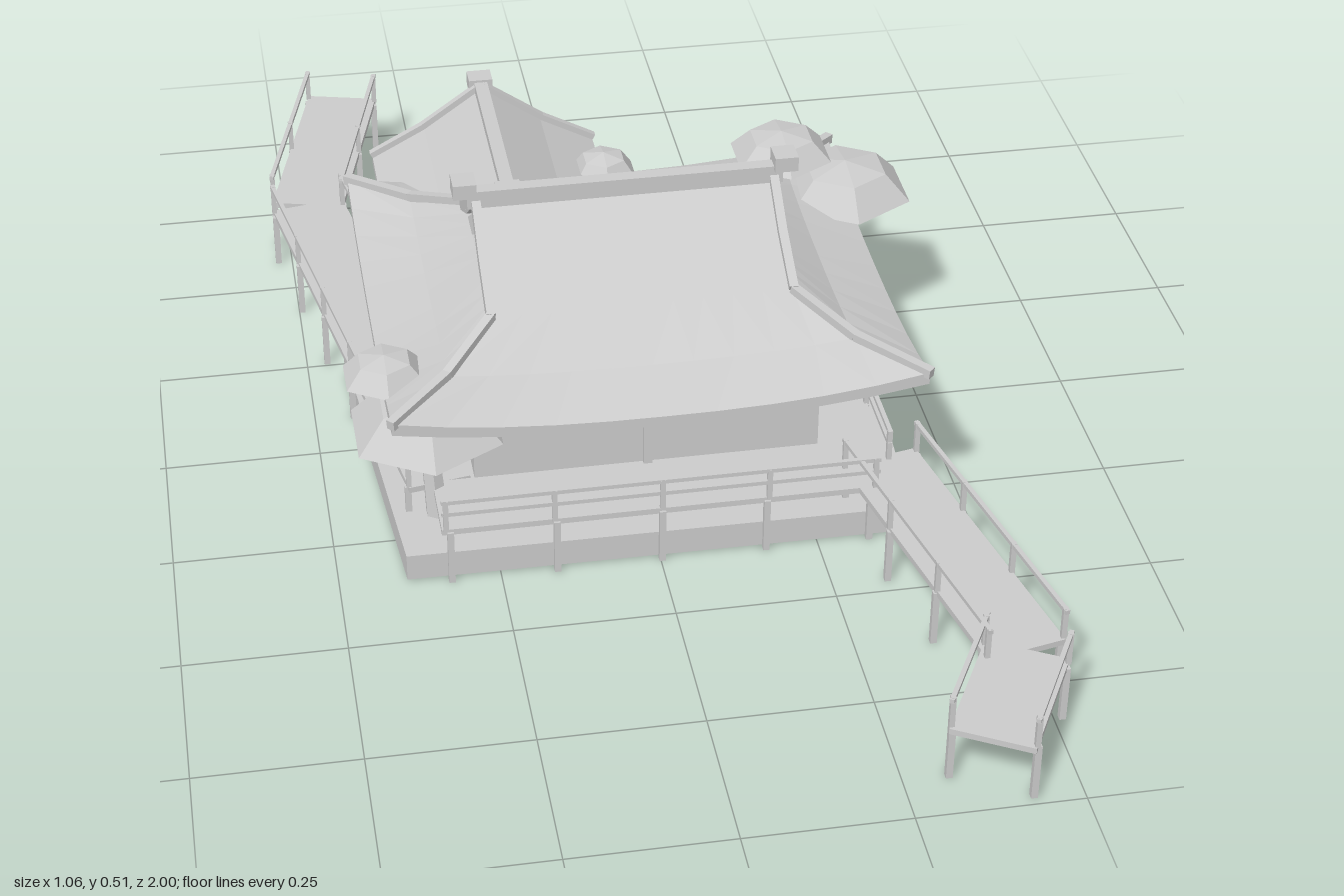
import * as THREE from 'three';

const grey = new THREE.MeshStandardMaterial({ color: 0xcccccc, flatShading: true, side: THREE.DoubleSide });
grey.name = 'stone grey';
const UP = new THREE.Vector3(0, 1, 0);

function add(parent, name, geometry, x = 0, y = 0, z = 0) {
  const m = new THREE.Mesh(geometry, grey);
  m.name = name;
  m.position.set(x, y, z);
  parent.add(m);
  return m;
}
const box = (p, name, w, h, d, x, y, z) => add(p, name, new THREE.BoxGeometry(w, h, d), x, y, z);

// box beam running from point a to point b
function beam(p, name, a, b, w, h) {
  const A = new THREE.Vector3(...a), B = new THREE.Vector3(...b);
  const m = box(p, name, w, h, A.distanceTo(B), 0, 0, 0);
  m.position.copy(A).add(B).multiplyScalar(0.5);
  m.quaternion.setFromRotationMatrix(new THREE.Matrix4().lookAt(B, A, UP));
  return m;
}

// surface through rows of points
function loft(rows) {
  const n = rows[0].length, idx = [];
  for (let r = 0; r < rows.length - 1; r++)
    for (let i = 0; i < n - 1; i++) {
      const a = r * n + i, b = a + n;
      idx.push(a, b, a + 1, a + 1, b, b + 1);
    }
  const g = new THREE.BufferGeometry();
  g.setAttribute('position', new THREE.Float32BufferAttribute(rows.flat(2), 3));
  g.setIndex(idx);
  const flat = g.toNonIndexed();
  flat.computeVertexNormals();
  return flat;
}

// rectangular ring whose corners sweep upward by lift
function ring(hx, hz, y, lift, n = 10) {
  const c = [[-1, 1], [1, 1], [1, -1], [-1, -1], [-1, 1]], pts = [];
  for (let s = 0; s < 4; s++)
    for (let i = s ? 1 : 0; i <= n; i++) {
      const t = i / n, up = lift * Math.pow(Math.abs(2 * t - 1), 2.5);
      pts.push([hx * THREE.MathUtils.lerp(c[s][0], c[s + 1][0], t), y + up,
        hz * THREE.MathUtils.lerp(c[s][1], c[s + 1][1], t)]);
    }
  return pts;
}

function mainRoof() {
  const g = new THREE.Group();
  g.name = 'mainRoof';
  g.position.z = 0.027;
  add(g, 'roofSkirt', loft([
    ring(0.235, 0.17, 0.368, 0), ring(0.315, 0.26, 0.315, 0.014), ring(0.41, 0.355, 0.285, 0.033),
    ring(0.41, 0.355, 0.268, 0.03), ring(0.27, 0.23, 0.275, 0)]));
  // upper gabled part
  const prof = [[-0.17, 0.368], [-0.08, 0.415], [0, 0.475], [0.08, 0.415], [0.17, 0.368]];
  const at = x => prof.map(([z, y]) => [x, y, z]);
  add(g, 'upperRoof', loft([at(-0.238), at(0.238)]));
  box(g, 'ridge', 0.5, 0.03, 0.022, 0, 0.481, 0);
  for (const s of [-1, 1]) {
    add(g, 'gableWall', loft([at(s * 0.215), prof.map(([z]) => [s * 0.215, 0.36, z])]));
    for (let i = 0; i < prof.length - 1; i++) {
      const [a, b] = [prof[i], prof[i + 1]];
      beam(g, 'bargeBoard', [s * 0.236, a[1], a[0]], [s * 0.236, b[1], b[0]], 0.014, 0.022);
    }
    box(g, 'ridgeCap', 0.037, 0.025, 0.04, s * 0.254, 0.502, 0);
    for (const f of [-1, 1]) {
      const hip = [[0.235, 0.37, 0.17], [0.315, 0.332, 0.26], [0.412, 0.318, 0.357]]
        .map(([x, y, z]) => [s * x, y, f * z]);
      beam(g, 'hipRidge', hip[0], hip[1], 0.014, 0.016);
      beam(g, 'hipRidge', hip[1], hip[2], 0.014, 0.016);
    }
  }
  return g;
}

function annex() {
  const g = new THREE.Group();
  g.name = 'annex';
  g.position.x = -0.167;
  const wall = new THREE.Shape([[-0.122, 0.09], [0.122, 0.09], [0.122, 0.29], [0, 0.385], [-0.122, 0.29]]
    .map(p => new THREE.Vector2(...p)));
  add(g, 'annexWall', new THREE.ExtrudeGeometry(wall, { depth: 0.17, bevelEnabled: false }), 0, 0, -0.355);
  const top = [[-0.19, 0.282], [-0.1, 0.33], [0, 0.4], [0.1, 0.33], [0.19, 0.282]];
  const roof = new THREE.Shape([...top, ...top.map(([x, y]) => [x, y - 0.016]).reverse()]
    .map(p => new THREE.Vector2(...p)));
  add(g, 'annexRoof', new THREE.ExtrudeGeometry(roof, { depth: 0.34, bevelEnabled: false }), 0, 0, -0.46);
  for (let i = 0; i < 4; i++)
    beam(g, 'annexBarge', [...top[i], -0.455], [...top[i + 1], -0.455], 0.012, 0.02);
  box(g, 'annexRidge', 0.022, 0.02, 0.37, 0, 0.398, -0.285);
  for (const z of [-0.475, -0.11]) box(g, 'annexRidgeCap', 0.04, 0.024, 0.035, 0, 0.4, z);
  return g;
}

// deck section with supports, and rails of the given heights on the given sides
function walkway(a, b, sides, rails) {
  const g = new THREE.Group();
  g.name = 'walkway';
  const len = Math.hypot(b[0] - a[0], b[1] - a[1]);
  const d = [(b[0] - a[0]) / len, (b[1] - a[1]) / len];
  const at = (t, s, y) => [a[0] + d[0] * len * t + d[1] * s * 0.062, y, a[1] + d[1] * len * t - d[0] * s * 0.062];
  beam(g, 'deck', at(0, 0, 0.095), at(1, 0, 0.095), 0.126, 0.01);
  const n = Math.max(1, Math.round(len / 0.18));
  for (const s of [-1, 1]) {
    for (let i = 0; i <= n; i++) {
      const [x, , z] = at((i + 0.08) / (n + 0.16), s, 0);
      box(g, 'support', 0.01, 0.095, 0.01, x, 0.0475, z);
    }
    if (!sides.includes(s)) continue;
    for (const y of rails) beam(g, 'rail', at(0, s, y), at(1, s, y), 0.007, 0.007);
    for (let i = 0; i <= n; i++) {
      const [x, , z] = at((i + 0.04) / (n + 0.08), s, 0);
      box(g, 'railPost', 0.008, 0.056, 0.008, x, 0.126, z);
    }
  }
  return g;
}

// leaning trunk and hexagonal layered canopies [x, y, z, radius, height]
function tree(root, canopies) {
  const g = new THREE.Group();
  g.name = 'tree';
  for (const [x, y, z, r, h] of canopies) {
    const pts = [[0, 0], [r, 0], [r * 0.62, h * 0.78], [0, h]].map(p => new THREE.Vector2(...p));
    add(g, 'canopy', new THREE.LatheGeometry(pts, 6), x, y, z);
  }
  canopies.forEach(([x, y, z], i) => {
    const from = i ? new THREE.Vector3(...canopies[0].slice(0, 3)) : new THREE.Vector3(...root);
    if (i) from.y -= 0.01;
    const dir = new THREE.Vector3(x, y + 0.01, z).sub(from), len = dir.length();
    const w = i ? 0.009 : 0.014;
    const m = add(g, i ? 'branch' : 'trunk', new THREE.CylinderGeometry(w, w * 1.35, len, 6));
    m.position.copy(from).addScaledVector(dir, 0.5);
    m.quaternion.setFromUnitVectors(UP, dir.normalize());
  });
  return g;
}

function lantern() {
  const g = new THREE.Group();
  g.name = 'lantern';
  g.position.set(0.2, 0.045, -0.285);
  const hex = (name, r0, r1, h, y) => add(g, name, new THREE.CylinderGeometry(r1, r0, h, 6), 0, y, 0);
  hex('lanternFoot', 0.024, 0.02, 0.012, 0.006);
  hex('lanternStem', 0.016, 0.016, 0.03, 0.025);
  box(g, 'lanternBox', 0.036, 0.034, 0.036, 0, 0.055, 0);
  hex('lanternRoof', 0.042, 0.006, 0.032, 0.088);
  return g;
}

export function createModel() {
  const model = new THREE.Group();
  model.name = 'pavilion';

  // stone platform
  const outline = new THREE.Shape([[0.4, -0.36], [0.437, 0.21], [-0.1, 0.375], [-0.44, 0.21], [-0.395, -0.355]]
    .map(p => new THREE.Vector2(...p)));
  const slab = new THREE.ExtrudeGeometry(outline, { depth: 0.045, bevelEnabled: false }).rotateX(-Math.PI / 2);
  add(model, 'platform', slab, 0, 0.003, 0);

  // hall raised on its floor
  box(model, 'hallFloor', 0.56, 0.01, 0.45, 0, 0.095, 0.018);
  box(model, 'hallWalls', 0.548, 0.18, 0.445, 0, 0.188, 0.018);
  box(model, 'doorPost', 0.014, 0.17, 0.01, 0, 0.184, 0.243);
  model.add(mainRoof(), annex(), lantern());

  // rear and front piers
  const piers = [
    [[-0.37, -0.985], [-0.465, -0.613]], [[-0.465, -0.613], [-0.315, 0.24]],
    [[0.362, 0.29], [0.465, 0.785]], [[0.465, 0.785], [0.365, 0.965]]];
  for (const [a, b] of piers) model.add(walkway(a, b, [-1, 1], [0.15]));
  // veranda along the front and the left side of the hall
  model.add(walkway([-0.34, 0.303], [0.345, 0.303], [-1], [0.13, 0.152]));
  model.add(walkway([0.314, 0.303], [0.314, -0.175], [-1], [0.13, 0.152]));

  // trees
  model.add(
    tree([0.305, 0.045, -0.23], [[0.36, 0.237, -0.26, 0.112, 0.056], [0.407, 0.3, -0.19, 0.114, 0.056], [0.305, 0.36, -0.225, 0.088, 0.042]]),
    tree([-0.335, 0.045, 0.25], [[-0.345, 0.202, 0.235, 0.128, 0.066], [-0.405, 0.3, 0.225, 0.07, 0.037]]),
    tree([0.035, 0.045, -0.285], [[0.085, 0.195, -0.312, 0.105, 0.05], [0.022, 0.29, -0.325, 0.06, 0.04]]));
  return model;
}
